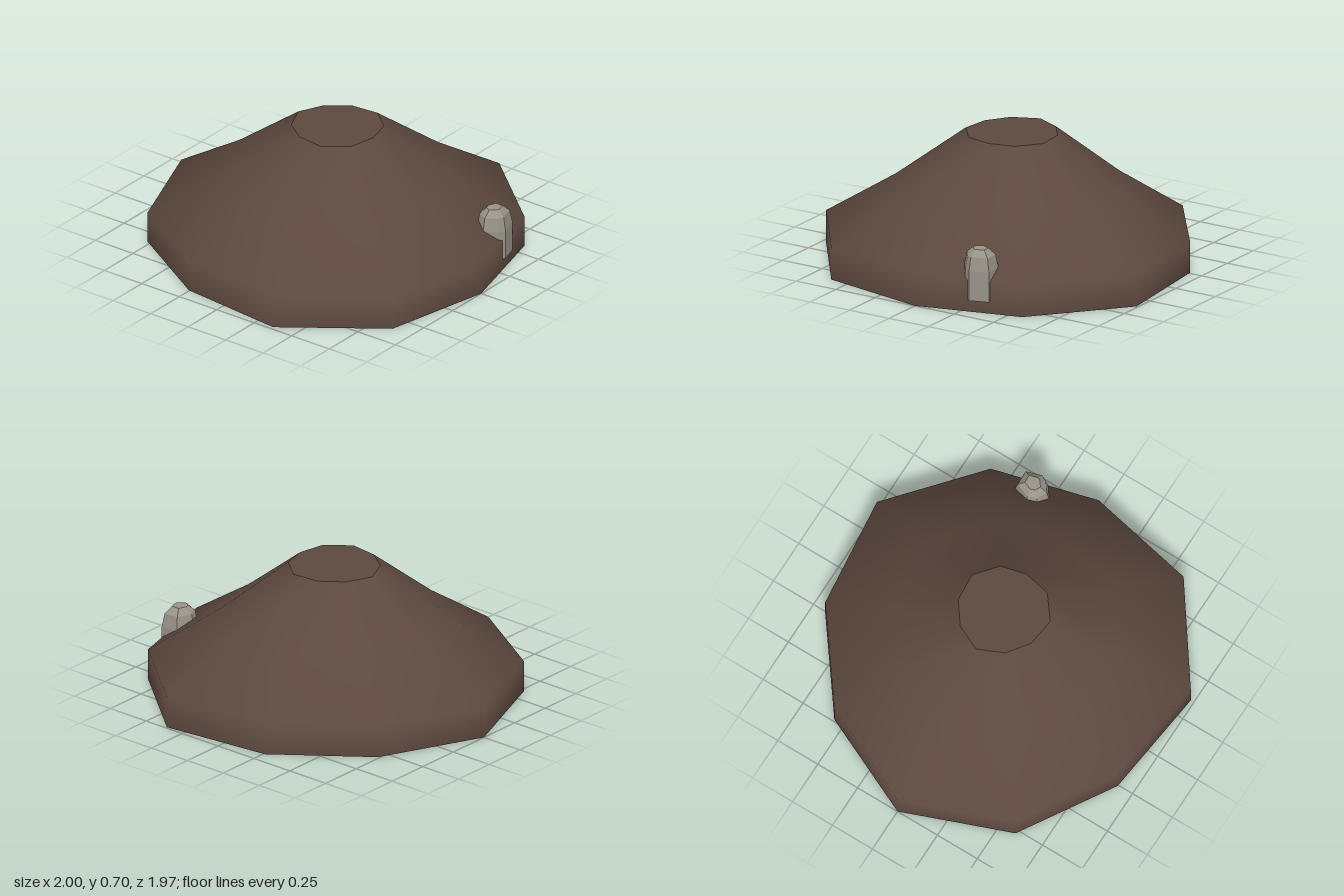
import * as THREE from 'three';

const earth = new THREE.MeshStandardMaterial({ color: 0x5c483f });
earth.name = 'earthBrown';
const stone = new THREE.MeshStandardMaterial({ color: 0x999489 });
stone.name = 'stoneGrey';

// Joins rings of [x, y, z] points, listed from the bottom up, into a closed solid.
// Walls share vertices (smooth); the caps have their own (sharp edge).
function loft(rings, flat) {
  const n = rings[0].length;
  const pos = rings.flat(2);
  const index = [];
  for (let r = 0; r < rings.length - 1; r++) {
    for (let i = 0; i < n; i++) {
      const j = (i + 1) % n;
      const a = r * n + i, b = r * n + j;
      index.push(a, a + n, b, b, a + n, b + n);
    }
  }
  const cap = (ring, up) => {
    const base = pos.length / 3;
    pos.push(...ring.flat());
    for (let i = 1; i < n - 1; i++) {
      if (up) index.push(base, base + i + 1, base + i);
      else index.push(base, base + i, base + i + 1);
    }
  };
  cap(rings[0], false);
  cap(rings[rings.length - 1], true);
  let geo = new THREE.BufferGeometry();
  geo.setAttribute('position', new THREE.Float32BufferAttribute(pos, 3));
  geo.setIndex(index);
  if (flat) geo = geo.toNonIndexed();
  geo.computeVertexNormals();
  return geo;
}

const atHeight = (outline, y) => outline.map(([x, z]) => [x, y, z]);

export function createModel() {
  const group = new THREE.Group();
  group.name = 'moundWithRock';

  // Mound: uneven ten-sided base rising to a small flat summit
  const foot = [[1, 0], [0.875, 0.61], [0.36, 0.98], [-0.255, 0.91], [-0.77, 0.595],
    [-1, 0], [-0.74, -0.56], [-0.26, -0.92], [0.365, -0.99], [0.845, -0.58]];
  const summit = [[0.28, 0], [0.25, 0.15], [0.122, 0.25], [-0.035, 0.23], [-0.155, 0.145],
    [-0.22, 0], [-0.155, -0.14], [-0.035, -0.228], [0.122, -0.242], [0.245, -0.14]];
  const waist = foot.map(([x, z], i) => [(x + summit[i][0]) / 2, (z + summit[i][1]) / 2]);
  const mound = new THREE.Mesh(loft([
    atHeight(foot, 0), atHeight(foot, 0.175), atHeight(waist, 0.415), atHeight(summit, 0.705),
  ], false), earth);
  mound.name = 'mound';
  group.add(mound);

  // Rock: faceted stone half sunk into the rim of the mound
  const outline = [[0.933, -0.3], [0.912, -0.262], [0.848, -0.215], [0.783, -0.246],
    [0.762, -0.305], [0.8, -0.4], [0.9, -0.405]];
  const shrink = (s) => outline.map(([x, z]) => [0.847 + (x - 0.847) * s, -0.315 + (z + 0.315) * s]);
  const rock = new THREE.Mesh(loft([
    atHeight(outline, 0.065), atHeight(outline, 0.23),
    atHeight(shrink(0.84), 0.305), atHeight(shrink(0.45), 0.34),
  ], true), stone);
  rock.name = 'rock';
  group.add(rock);

  return group;
}
